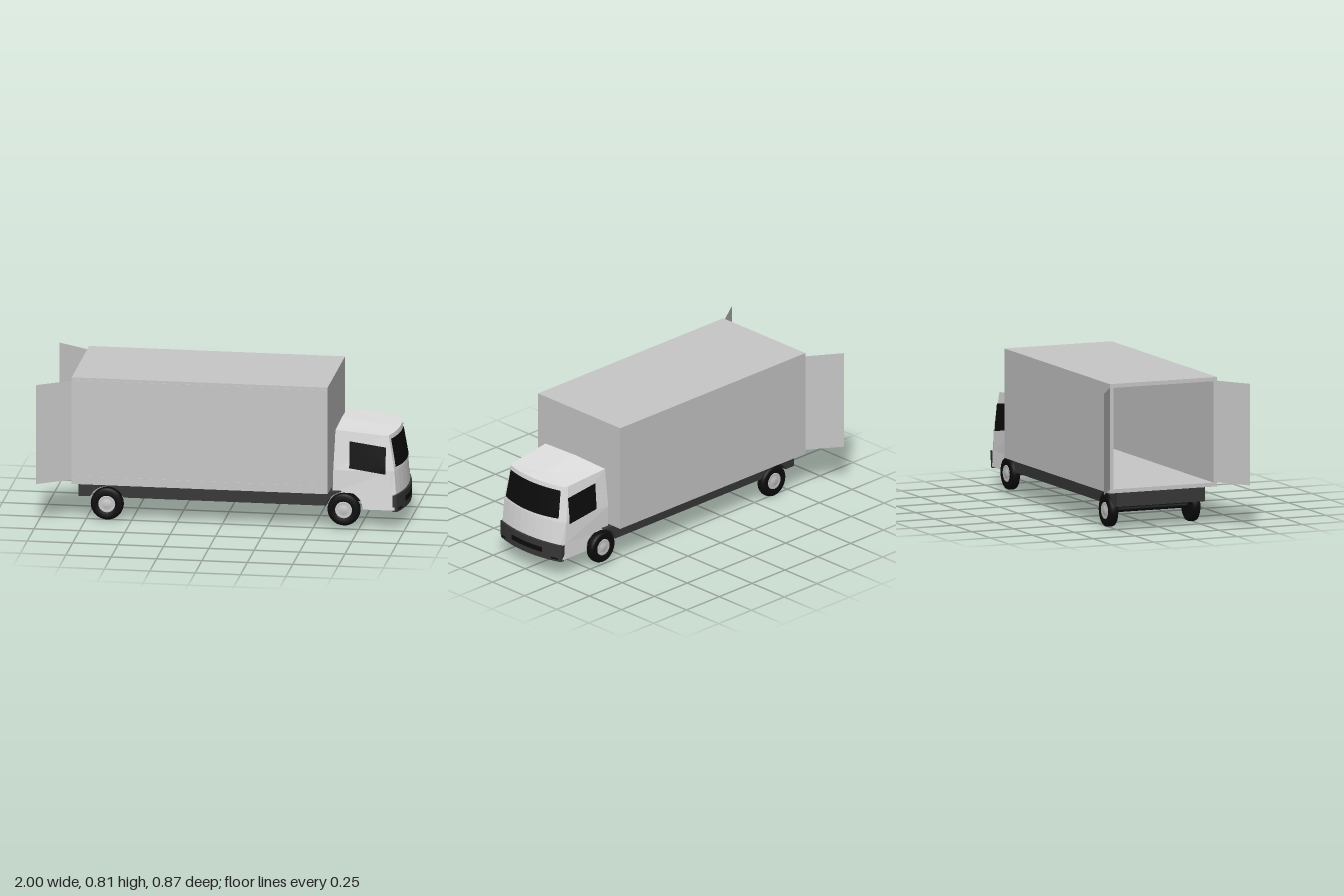
import * as THREE from 'three';

const mat = (name, color, side = THREE.FrontSide) => {
  const m = new THREE.MeshStandardMaterial({ color, side });
  m.name = name;
  return m;
};

export function createModel() {
  const cargoGrey = mat('cargo grey', 0xc8c8c8);
  const doorGrey = mat('door grey', 0xc8c8c8, THREE.DoubleSide);
  const cabGrey = mat('cab light grey', 0xe0e0e0);
  const darkGrey = mat('chassis dark grey', 0x383838);
  const black = mat('black', 0x0c0c0c);

  const truck = new THREE.Group();
  truck.name = 'boxTruck';

  const add = (name, geo, material, parent = truck) => {
    const m = new THREE.Mesh(geo, material);
    m.name = name;
    parent.add(m);
    return m;
  };
  // box given by its minimum and maximum corners
  const block = (name, a, b, material, parent) => {
    const g = new THREE.BoxGeometry(b[0] - a[0], b[1] - a[1], b[2] - a[2]);
    g.translate((a[0] + b[0]) / 2, (a[1] + b[1]) / 2, (a[2] + b[2]) / 2);
    return add(name, g, material, parent);
  };
  const fromTriangles = (pos) => {
    const g = new THREE.BufferGeometry();
    g.setAttribute('position', new THREE.Float32BufferAttribute(pos, 3));
    g.computeVertexNormals();
    return g;
  };
  // closed faceted loft through rings stacked upwards, capped at both ends
  const loft = (rings) => {
    const pos = [], n = rings[0].length;
    for (let r = 0; r + 1 < rings.length; r++)
      for (let i = 0; i < n; i++) {
        const j = (i + 1) % n;
        const [a, b, c, d] = [rings[r][i], rings[r][j], rings[r + 1][j], rings[r + 1][i]];
        pos.push(...a, ...b, ...c, ...a, ...c, ...d);
      }
    [[rings[0], true], [rings[rings.length - 1], false]].forEach(([ring, flip]) => {
      const mid = [0, 1, 2].map((k) => ring.reduce((s, p) => s + p[k], 0) / n);
      for (let i = 0; i < n; i++) {
        const p = ring[i], q = ring[(i + 1) % n];
        pos.push(...mid, ...(flip ? q : p), ...(flip ? p : q));
      }
    });
    return fromTriangles(pos);
  };
  // open surface patch, f(u, v) gives a point
  const patch = (nu, nv, f) => {
    const pos = [];
    for (let i = 0; i < nu; i++)
      for (let j = 0; j < nv; j++) {
        const P = (a, b) => f((i + a) / nu, (j + b) / nv);
        pos.push(...P(0, 0), ...P(1, 0), ...P(1, 1), ...P(0, 0), ...P(1, 1), ...P(0, 1));
      }
    return fromTriangles(pos);
  };
  const lerp = THREE.MathUtils.lerp;
  const extrudeAcross = (shape, half) => {
    const g = new THREE.ExtrudeGeometry(shape, { depth: half * 2, bevelEnabled: false, curveSegments: 20 });
    return g.translate(0, 0, -half);
  };

  // cargo box, open at the rear
  const cargo = new THREE.Group();
  cargo.name = 'cargoBox';
  truck.add(cargo);
  const [x0, x1, y0, y1, w, t] = [-0.82, 0.59, 0.212, 0.815, 0.32, 0.022];
  block('cargoFloor', [x0, y0, -w], [x1, y0 + t, w], cargoGrey, cargo);
  block('cargoRoof', [x0, y1 - t, -w], [x1, y1, w], cargoGrey, cargo);
  block('cargoFrontWall', [x1 - t, y0 + t, -w], [x1, y1 - t, w], cargoGrey, cargo);
  block('leftWall', [x0, y0 + t, w - t], [x1 - t, y1 - t, w], cargoGrey, cargo);
  block('rightWall', [x0, y0 + t, -w], [x1 - t, y1 - t, -w + t], cargoGrey, cargo);

  // raised frame on one side wall
  const rect = (C, a, b, c, d) => {
    const s = new C();
    s.moveTo(a, b).lineTo(c, b).lineTo(c, d).lineTo(a, d).closePath();
    return s;
  };
  const frame = rect(THREE.Shape, -0.802, 0.242, 0.572, 0.8);
  frame.holes.push(rect(THREE.Path, -0.787, 0.257, 0.557, 0.785));
  const frameGeo = new THREE.ExtrudeGeometry(frame, { depth: 0.004, bevelEnabled: false });
  add('sideFrame', frameGeo.translate(0, 0, w - 0.001), cargoGrey, cargo);

  // swung-open rear doors
  for (const s of [1, -1])
    add(s > 0 ? 'rearDoorLeft' : 'rearDoorRight', patch(1, 1, (u, v) =>
      [lerp(-0.82, -1, u), lerp(0.235, 0.795, v), s * lerp(0.318, 0.435, u)]), doorGrey, cargo);

  // chassis slab with arches cut across its width
  const chassis = new THREE.Shape();
  const arch = 0.1;
  const rearDx = Math.sqrt(arch * arch - 0.04 * 0.04);
  chassis.moveTo(-0.79, 0.212).lineTo(-0.79, 0.13).lineTo(-0.635 - rearDx, 0.13);
  const a0 = Math.asin(0.04 / arch);
  chassis.absarc(-0.635, 0.09, arch, Math.PI - a0, a0, true);
  chassis.lineTo(0.572, 0.13);
  chassis.absarc(0.67, 0.11, arch, Math.PI - 0.2, Math.PI / 2 + 0.15, true);
  chassis.lineTo(0.655, 0.212).closePath();
  add('chassis', extrudeAcross(chassis, 0.262), darkGrey);

  // cab body: [height, rear x, nose x, rear, side-front and nose half widths]
  const levels = [
    [0.2, 0.605, 0.988, 0.24, 0.235, 0.226],
    [0.33, 0.61, 0.978, 0.247, 0.236, 0.223],
    [0.56, 0.62, 0.945, 0.232, 0.217, 0.205],
  ];
  const roofY = (x) => 0.56 - 0.1 * (x - 0.62);
  const bow = 0.035;
  const cabRing = ([y, xr, xn, zr, zs, zf], k) => {
    const half = [[xr, zr], [xn - 0.06, zs]];
    for (let i = 4; i > 0; i--) half.push([xn - bow * (i / 4) ** 2, zf * i / 4]);
    const mirrored = half.map(([x, z]) => [x, -z]).reverse();
    return [...half, [xn, 0], ...mirrored, [xr, 0]].map(([x, z]) =>
      [x, k === 2 ? roofY(x) - 0.007 * (z / zr) ** 2 : y, z]);
  };
  const cab = new THREE.Group();
  cab.name = 'cab';
  truck.add(cab);
  add('cabBody', loft(levels.map(cabRing)), cabGrey, cab);

  // level values interpolated at a height
  const levelAt = (x, y) => {
    const top = roofY(x) - 0.004;
    const k = y < 0.33 ? 0 : 1;
    const f = k ? (y - 0.33) / (top - 0.33) : (y - 0.2) / 0.13;
    return levels[k].map((v, i) => lerp(v, levels[k + 1][i], f));
  };
  const sideZ = (x, y) => {
    const [, xr, xn, zr, zs] = levelAt(x, y);
    return lerp(zr, zs, (x - xr) / (xn - 0.06 - xr));
  };
  const noseX = (y, z) => {
    const [, , xn, , , zf] = levelAt(0.945, y);
    return xn - bow * (z / zf) ** 2;
  };

  // lower cab with wheel arch
  const skirt = new THREE.Shape();
  skirt.moveTo(0.67, 0.202).absarc(0.67, 0.11, 0.1, Math.PI / 2, 0, true);
  skirt.lineTo(0.945, 0.11).lineTo(0.945, 0.205).lineTo(0.67, 0.205).closePath();
  add('cabSkirt', extrudeAcross(skirt, 0.236), cabGrey, cab);

  // windows
  add('windscreen', patch(12, 4, (u, v) => {
    const z = lerp(0.206, -0.206, u) * lerp(1, 0.945, v);
    const y = lerp(0.344 + 0.006 * (z / 0.2) ** 2, 0.505, v);
    return [noseX(y, z) + 0.004, y, z];
  }), black, cab);
  for (const s of [1, -1])
    add(s > 0 ? 'sideWindowLeft' : 'sideWindowRight', patch(4, 4, (u, v) => {
      const k = s > 0 ? u : 1 - u;
      const x = lerp(0.698, 0.897, k);
      const y = lerp(lerp(0.343, 0.313, k), lerp(0.493, 0.463, k), v);
      return [x, y, s * (sideZ(x, y) + 0.004)];
    }), black, cab);

  // two slats on the nose
  for (const y of [0.213, 0.246])
    add('noseSlat', patch(6, 1, (u, v) => {
      const z = lerp(0.088, -0.088, u), h = y + 0.016 * v;
      return [noseX(h, z) + 0.003, h, z];
    }), cabGrey, cab);

  // bowed bumper with grille, lamps and fog lamps
  const bumperX = (z) => 0.998 - 0.042 * (z / 0.24) ** 2;
  const bumperRing = (y, width) => {
    const ring = [[0.935, y, width]];
    for (let i = 6; i >= -6; i--) ring.push([bumperX(width * i / 6), y, width * i / 6]);
    ring.push([0.935, y, -width]);
    return ring;
  };
  add('bumper', loft([bumperRing(0.102, 0.234), bumperRing(0.197, 0.241)]), darkGrey, cab);
  const bumperPlate = (name, za, zb, ya, yb, material) =>
    add(name, patch(6, 1, (u, v) => {
      const z = lerp(za, zb, u);
      return [bumperX(z) + 0.002, lerp(ya, yb, v), z];
    }), material, cab);
  bumperPlate('grille', 0.12, -0.12, 0.136, 0.165, black);
  for (const s of [1, -1]) {
    bumperPlate('headlamp', s * 0.19 + 0.032, s * 0.19 - 0.032, 0.142, 0.178, darkGrey);
    bumperPlate('fogLamp', s * 0.198 + 0.021, s * 0.198 - 0.021, 0.113, 0.123, black);
  }

  // wheels
  const tyreProfile = [[0, -0.025], [0.075, -0.025], [0.086, -0.02], [0.09, -0.01], [0.09, 0.01],
    [0.086, 0.02], [0.075, 0.025], [0.05, 0.025], [0.046, 0.018], [0, 0.018]];
  const rimProfile = [[0.047, 0.02], [0.045, 0.025], [0.038, 0.022], [0.022, 0.022], [0.019, 0.027], [0, 0.027]];
  const lathe = (pts) =>
    new THREE.LatheGeometry(pts.map(([r, y]) => new THREE.Vector2(r, y)), 32).rotateX(Math.PI / 2);
  const tyre = lathe(tyreProfile), rim = lathe(rimProfile);
  for (const [end, x, y, z] of [['rear', -0.635, 0.09, 0.245], ['front', 0.67, 0.112, 0.249]]) {
    for (const s of [1, -1]) {
      const wheel = new THREE.Group();
      wheel.name = end + (s > 0 ? 'WheelLeft' : 'WheelRight');
      wheel.position.set(x, y, s * z);
      if (s < 0) wheel.rotation.y = Math.PI;
      add('tyre', tyre, black, wheel);
      add('rim', rim, cargoGrey, wheel);
      truck.add(wheel);
    }
    const axle = new THREE.CylinderGeometry(0.014, 0.014, 0.46, 12).rotateX(Math.PI / 2);
    add(end + 'Axle', axle, black).position.set(x, y, 0);
  }
  return truck;
}
